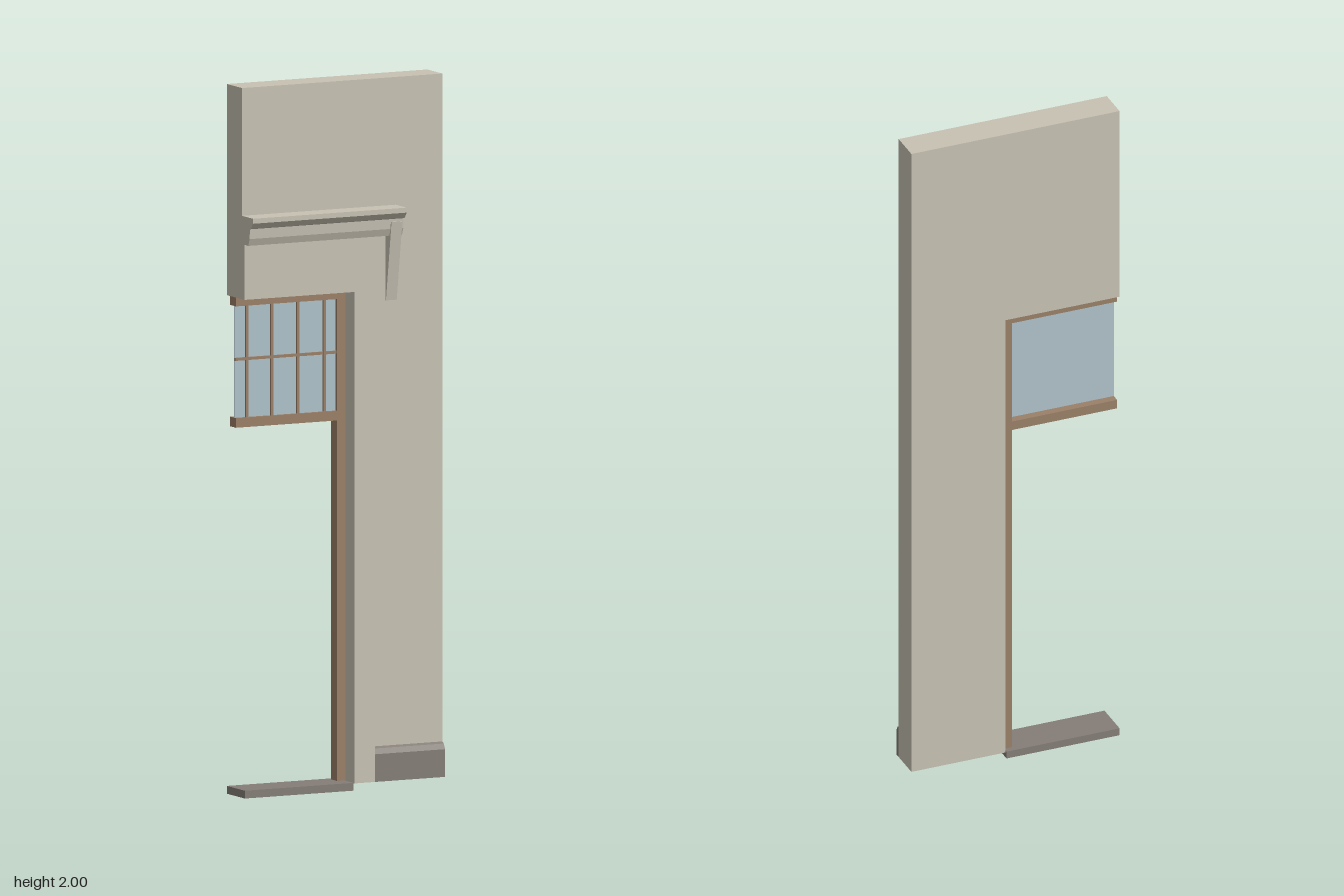
import * as THREE from 'three';

const L = -0.315, R = 0.315, BACK = -0.08, FACE = 0.012;

export function createModel() {
  const model = new THREE.Group();
  model.name = 'doorwayWall';
  const mat = (name, color) => {
    const m = new THREE.MeshStandardMaterial({ color });
    m.name = name;
    return m;
  };
  const stone = mat('pale stone', 0xc8c2b4);
  const greyStone = mat('grey stone', 0x857e77);
  const wood = mat('brown wood', 0x9a8068);
  const glass = mat('blue glass', 0xafc2ca);

  const add = (name, geometry, material) => {
    const mesh = new THREE.Mesh(geometry, material);
    mesh.name = name;
    model.add(mesh);
  };
  // Box given by its limits on each axis
  const box = (name, material, x0, x1, y0, y1, z0, z1) => {
    const g = new THREE.BoxGeometry(x1 - x0, y1 - y0, z1 - z0);
    g.translate((x0 + x1) / 2, (y0 + y1) / 2, (z0 + z1) / 2);
    add(name, g, material);
  };
  const shapeOf = (pts) => new THREE.Shape(pts.map(([a, b]) => new THREE.Vector2(a, b)));
  // Front outline (x, y) extruded from z0 to z1
  const slab = (name, material, pts, z0, z1) => {
    const g = new THREE.ExtrudeGeometry(shapeOf(pts), { depth: z1 - z0, bevelEnabled: false });
    g.translate(0, 0, z0);
    add(name, g, material);
  };
  // Side profile (z, y) swept from x0 to x1
  const moulding = (name, material, pts, x0, x1) => {
    const g = new THREE.ExtrudeGeometry(shapeOf(pts.map(([z, y]) => [-z, y])), { depth: x1 - x0, bevelEnabled: false });
    g.rotateY(Math.PI / 2);
    g.translate(x0, 0, 0);
    add(name, g, material);
  };

  // Wall with the door opening cut from its lower corner
  slab('wall', stone, [[0.03, 0.02], [R, 0.02], [R, 2], [L, 2], [L, 1.405], [0.03, 1.405]], BACK, FACE);

  // Flat stone surround with stepped ear
  slab('doorSurround', stone, [
    [0.03, 0.02], [0.095, 0.02], [0.095, 1.355], [0.12, 1.355], [0.12, 1.372],
    [0.128, 1.372], [0.128, 1.575], [L, 1.575], [L, 1.405], [0.03, 1.405],
  ], FACE, 0.028);

  // Cornice and its tapering bracket
  moulding('cornice', stone, [
    [FACE, 1.56], [0.05, 1.56], [0.058, 1.58], [0.06, 1.608], [0.066, 1.61],
    [0.079, 1.626], [0.079, 1.64], [FACE, 1.64],
  ], L, 0.168);
  moulding('bracket', stone, [
    [FACE, 1.375], [0.03, 1.375], [0.064, 1.6], [FACE, 1.6],
  ], 0.128, 0.162);

  // Plinth and threshold
  moulding('plinth', greyStone, [
    [FACE, 0.02], [0.028, 0.02], [0.028, 0.098], [0.02, 0.113], [FACE, 0.118],
  ], 0.095, R);
  box('threshold', greyStone, L, 0.027, 0, 0.022, BACK, 0.029);

  // Timber frame
  box('frameJamb', wood, 0.003, 0.03, 0.022, 1.405, -0.062, -0.025);
  box('frameHead', wood, L, 0.003, 1.38, 1.405, -0.062, -0.025);
  box('transomRail', wood, L, 0.003, 1.038, 1.065, -0.062, -0.025);

  // Transom light with glazing bars on its front
  box('transomGlass', glass, L, 0.003, 1.065, 1.38, -0.038, -0.034);
  for (const x of [-0.278, -0.199, -0.117, -0.035]) {
    box('glazingBar', wood, x - 0.004, x + 0.004, 1.065, 1.38, -0.034, -0.028);
  }
  box('crossBar', wood, L, 0.003, 1.226, 1.234, -0.034, -0.0285);

  return model;
}
